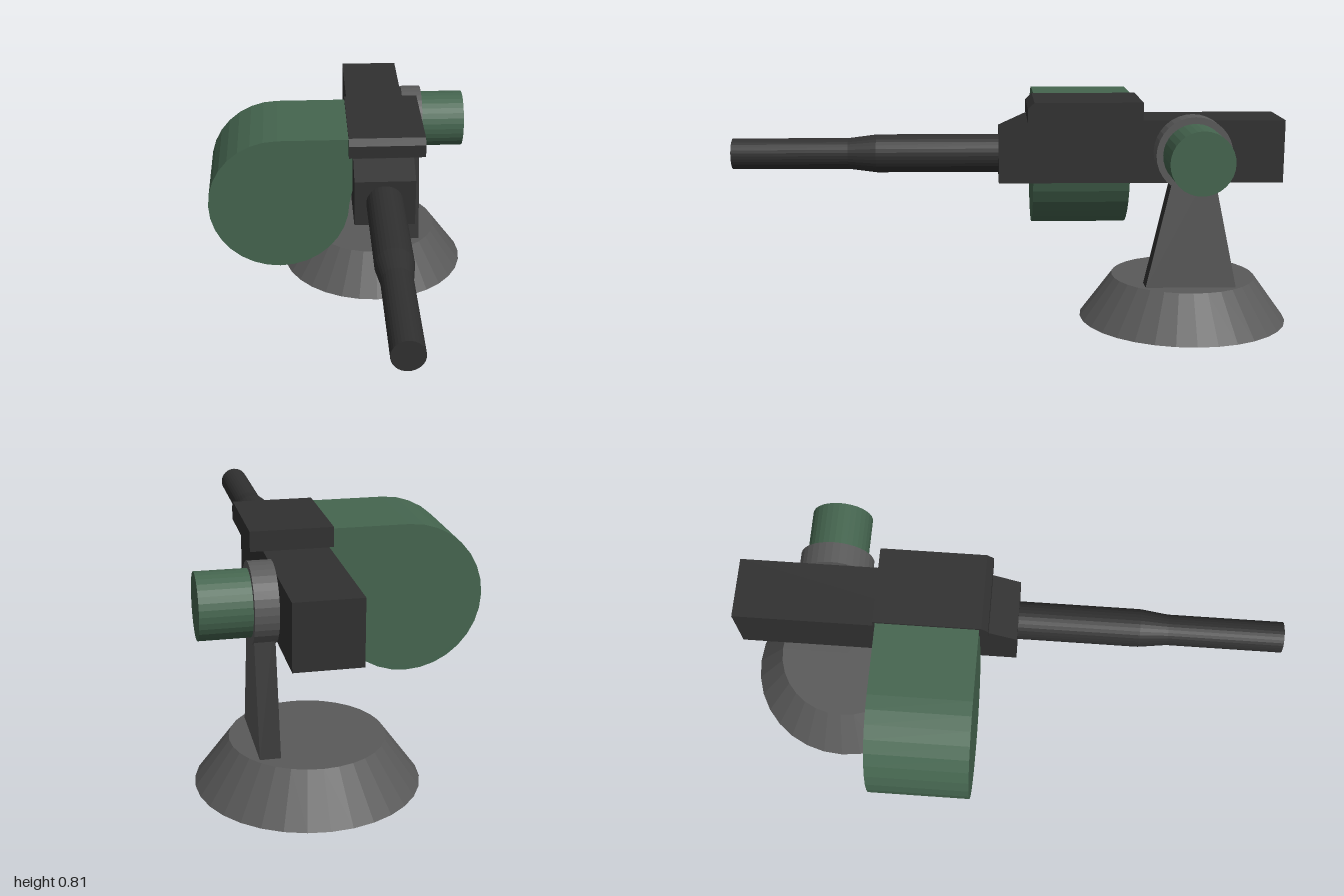
import * as THREE from 'three';

export function createModel() {
  const model = new THREE.Group();
  const material = (name, color, side = THREE.FrontSide) =>
    new THREE.MeshStandardMaterial({ name, color, side, flatShading: true });
  const black = material('gunmetal black', 0x303030);
  const grey = material('steel grey', 0x5a5a5a, THREE.DoubleSide);
  const green = material('military green', 0x45654f);

  const add = (name, geometry, mat, x = 0, y = 0, z = 0) => {
    const mesh = new THREE.Mesh(geometry, mat);
    mesh.name = name;
    mesh.position.set(x, y, z);
    model.add(mesh);
    return mesh;
  };

  // Side profile of [z, y] points, extruded along x from x0 to x1
  const sideProfile = (points, x0, x1) => {
    const shape = new THREE.Shape(points.map(([z, y]) => new THREE.Vector2(-z, y)));
    return new THREE.ExtrudeGeometry(shape, { depth: x1 - x0, bevelEnabled: false })
      .rotateY(Math.PI / 2).translate(x0, 0, 0);
  };

  const gunX = 0.136, pivotY = 0.632, pivotZ = -0.623;

  // Hollow conical foot, open below, with a flat top
  const foot = [[0.375, 0], [0.26, 0.158], [0, 0.158]].map(p => new THREE.Vector2(...p));
  add('base', new THREE.LatheGeometry(foot, 32), grey, gunX, 0, pivotZ + 0.002);

  // Upright plate narrowing toward the pivot, grey on its outer face only
  const y0 = 0.157, y1 = 0.6;
  const plate = new THREE.BoxGeometry(0.068, y1 - y0, 0.32);
  const pos = plate.attributes.position;
  for (let i = 0; i < pos.count; i++) {
    if (pos.getY(i) > 0) pos.setZ(i, Math.sign(pos.getZ(i)) * 0.062);
  }
  add('supportPlate', plate, [grey, black, black, black, black, black], 0.287, (y0 + y1) / 2, pivotZ);

  // Pivot disc and its knob, lying along x
  const pivot = (name, radius, x0, x1, mat) =>
    add(name, new THREE.CylinderGeometry(radius, radius, x1 - x0, 32).rotateZ(-Math.PI / 2),
      mat, (x0 + x1) / 2, pivotY, pivotZ);
  pivot('pivotDisc', 0.133, 0.247, 0.325, grey);
  pivot('pivotKnob', 0.11, 0.325, 0.494, green);

  // Receiver with a sloped front top edge
  add('receiver', sideProfile(
    [[0.053, 0.521], [-0.951, 0.521], [-0.951, 0.742], [-0.045, 0.742], [0.053, 0.697]],
    0.025, 0.247), black);

  // Feed cover with a chamfered front edge
  add('feedCover', sideProfile(
    [[-0.047, 0.742], [-0.447, 0.742], [-0.447, 0.811], [-0.07, 0.811], [-0.047, 0.789]],
    0.01, 0.291), black);

  // Barrel, stepping down toward the muzzle
  const barrel = [[0, 0.04], [0.068, 0.04], [0.068, 0.487], [0.055, 0.588], [0.055, 1], [0, 1]]
    .map(p => new THREE.Vector2(...p));
  add('barrel', new THREE.LatheGeometry(barrel, 32).rotateX(Math.PI / 2), black, gunX, 0.611, 0);

  // Teardrop ammunition drum feeding into the receiver
  const drum = new THREE.Shape();
  drum.moveTo(0.03, 0.803);
  drum.lineTo(-0.25, 0.803);
  drum.absarc(-0.25, 0.54, 0.263, Math.PI / 2, Math.PI * 2, false);
  drum.lineTo(0.03, 0.62);
  drum.closePath();
  add('ammoDrum', new THREE.ExtrudeGeometry(drum, { depth: 0.36, bevelEnabled: false, curveSegments: 12 }),
    green, 0, 0, -0.438);

  return model;
}
